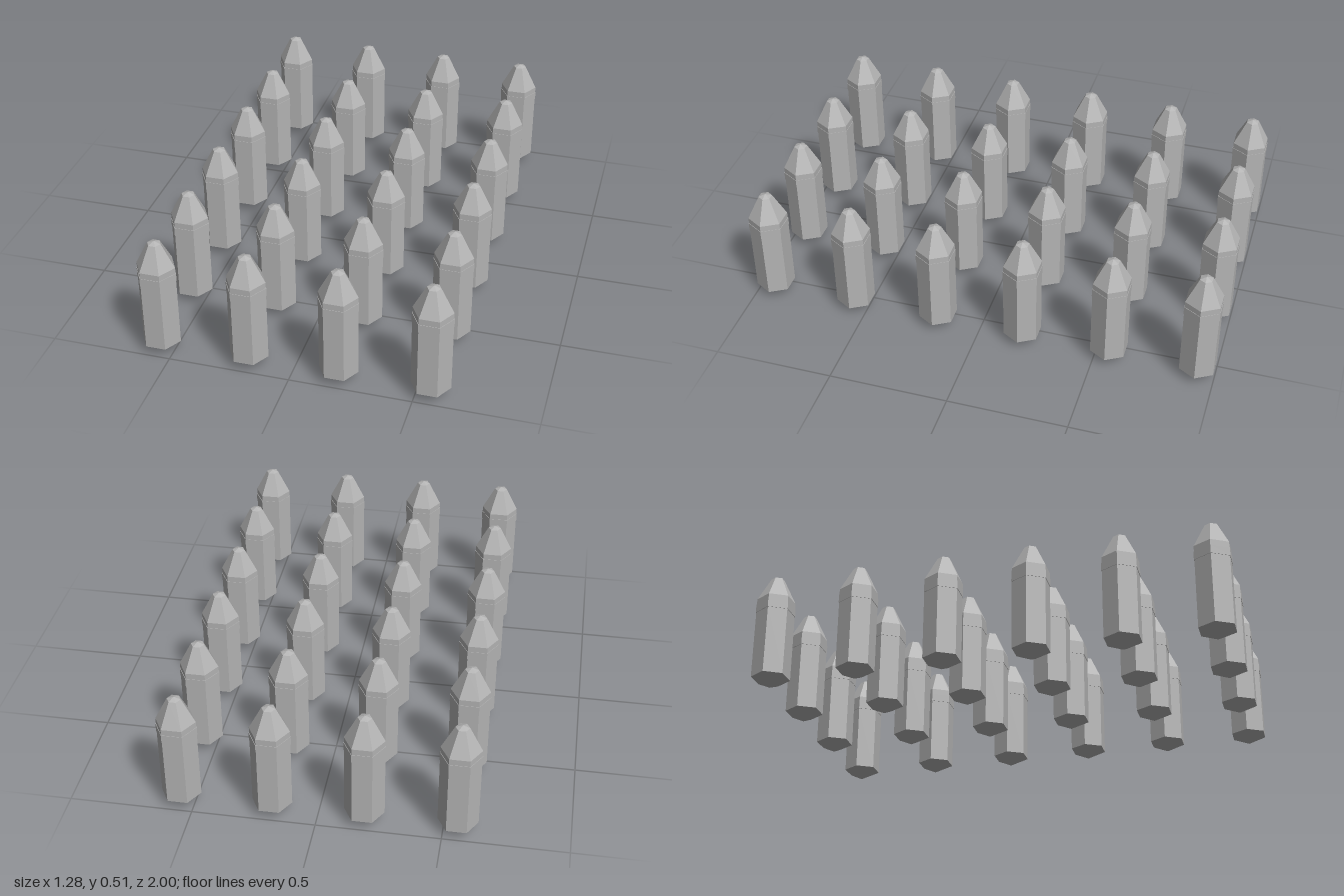
import * as THREE from 'three';

// Hexagonal solid of revolution with flat faces and corners on the x axis
function hexLathe(profile) {
  const points = profile.map(([r, y]) => new THREE.Vector2(r, y));
  const geometry = new THREE.LatheGeometry(points, 6, Math.PI / 2).toNonIndexed();
  geometry.computeVertexNormals();
  return geometry;
}

export function createModel() {
  const model = new THREE.Group();
  model.name = 'postGrid';

  const stone = new THREE.MeshStandardMaterial({ color: 0xb4b4b4 });
  stone.name = 'stone grey';

  // Pointed foot and straight shaft
  const shaft = hexLathe([[0, 0], [0.081, 0.041], [0.081, 0.338]]);
  // Slightly raised collar
  const collar = hexLathe([[0.081, 0.338], [0.083, 0.338], [0.083, 0.374], [0.081, 0.374]]);
  // Tapered head with a shallow tip
  const head = hexLathe([[0.081, 0.374], [0.081, 0.4], [0.028, 0.503], [0, 0.513]]);

  // Four columns by six rows
  const spacing = 0.371;
  for (let row = 0; row < 6; row++) {
    for (let column = 0; column < 4; column++) {
      const post = new THREE.Group();
      post.name = 'post';
      for (const [name, geometry] of Object.entries({ shaft, collar, head })) {
        const mesh = new THREE.Mesh(geometry, stone);
        mesh.name = name;
        post.add(mesh);
      }
      post.position.set((column - 1.5) * spacing, 0, (row - 2.5) * spacing);
      model.add(post);
    }
  }
  return model;
}
